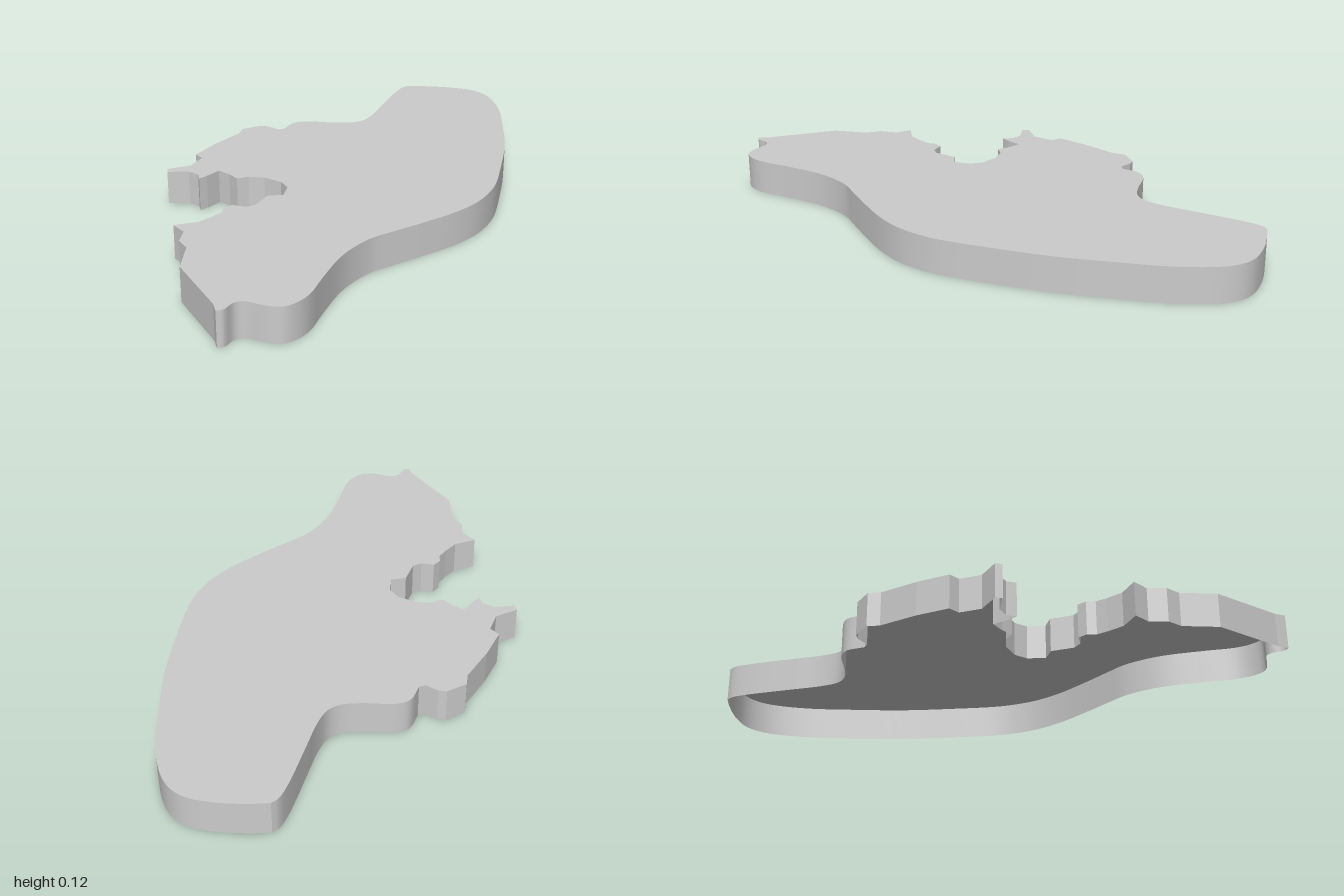
import * as THREE from 'three';

const HEIGHT = 0.118;

// Outline runs as [x, z], clockwise seen from above
const outerSide = [
  [-0.12, -0.935], [-0.075, -0.955], [0.005, -0.983], [0.06, -0.995], [0.11, -1], [0.155, -0.992],
  [0.2, -0.967], [0.245, -0.92], [0.305, -0.825], [0.37, -0.675], [0.44, -0.495], [0.495, -0.29],
  [0.525, -0.155], [0.53, -0.08], [0.52, 0.015], [0.485, 0.115], [0.42, 0.235], [0.36, 0.335],
  [0.32, 0.405], [0.295, 0.5], [0.29, 0.58], [0.3, 0.705], [0.31, 0.805], [0.3, 0.86],
  [0.275, 0.9], [0.23, 0.915], [0.163, 0.92], [0.142, 0.94], [0.136, 0.985], [0.12, 1],
];
const jaggedSide = [
  [0.12, 1], [0.095, 0.97], [-0.107, 0.82], [-0.155, 0.705], [-0.2, 0.675], [-0.22, 0.615],
  [-0.275, 0.588], [-0.217, 0.535], [-0.197, 0.48], [-0.187, 0.44], [-0.197, 0.41], [-0.185, 0.378],
  [-0.14, 0.372], [-0.117, 0.345], [-0.117, 0.265], [-0.073, 0.235], [-0.09, 0.175], [-0.13, 0.145],
  [-0.197, 0.138], [-0.25, 0.155], [-0.277, 0.185], [-0.318, 0.165], [-0.366, 0.153], [-0.38, 0.21],
  [-0.392, 0.24], [-0.413, 0.212], [-0.455, 0.205], [-0.52, 0.238], [-0.533, 0.218], [-0.477, 0.155],
  [-0.477, 0.08], [-0.513, 0.062], [-0.503, -0.053], [-0.477, -0.185], [-0.487, -0.227],
  [-0.44, -0.285], [-0.413, -0.29], [-0.366, -0.28], [-0.35, -0.295],
];
const innerSide = [
  [-0.35, -0.295], [-0.345, -0.365], [-0.307, -0.4], [-0.223, -0.428], [-0.155, -0.46],
  [-0.123, -0.5], [-0.115, -0.565], [-0.123, -0.675], [-0.136, -0.845], [-0.133, -0.91], [-0.12, -0.935],
];

const toPoints = (run) => run.map(([x, z]) => new THREE.Vector2(x, z));

// Centripetal curve through a run, sampled evenly between its points
function smooth(run, perSpan = 4) {
  const curve = new THREE.CatmullRomCurve3(run.map(([x, z]) => new THREE.Vector3(x, 0, z)));
  return curve.getPoints((run.length - 1) * perSpan).map((p) => new THREE.Vector2(p.x, p.z));
}

// Upright strip along a run, facing outward
function wallGeometry(points, isSmooth) {
  const positions = [];
  const index = [];
  points.forEach((p, i) => {
    positions.push(p.x, 0, p.y, p.x, HEIGHT, p.y);
    if (i === 0) return;
    const a = 2 * (i - 1);
    index.push(a, a + 1, a + 2, a + 1, a + 3, a + 2);
  });
  let geometry = new THREE.BufferGeometry();
  geometry.setAttribute('position', new THREE.Float32BufferAttribute(positions, 3));
  geometry.setIndex(index);
  if (!isSmooth) geometry = geometry.toNonIndexed();
  geometry.computeVertexNormals();
  return geometry;
}

export function createModel() {
  const group = new THREE.Group();
  group.name = 'islandSlab';
  const material = new THREE.MeshStandardMaterial({ color: 0xcccccc, side: THREE.DoubleSide });

  const add = (name, geometry) => {
    const mesh = new THREE.Mesh(geometry, material);
    mesh.name = name;
    group.add(mesh);
  };

  const runs = [
    { name: 'outerWall', points: smooth(outerSide), isSmooth: true },
    { name: 'jaggedWall', points: toPoints(jaggedSide), isSmooth: false },
    { name: 'innerWall', points: smooth(innerSide), isSmooth: true },
  ];

  // Side walls
  for (const { name, points, isSmooth } of runs) add(name, wallGeometry(points, isSmooth));

  // Top plate; the underside stays open
  const outline = runs.flatMap(({ points }) => points.slice(0, -1));
  const shape = new THREE.Shape(outline.map((p) => new THREE.Vector2(p.x, -p.y)));
  add('topPlate', new THREE.ShapeGeometry(shape).rotateX(-Math.PI / 2).translate(0, HEIGHT, 0));

  return group;
}
